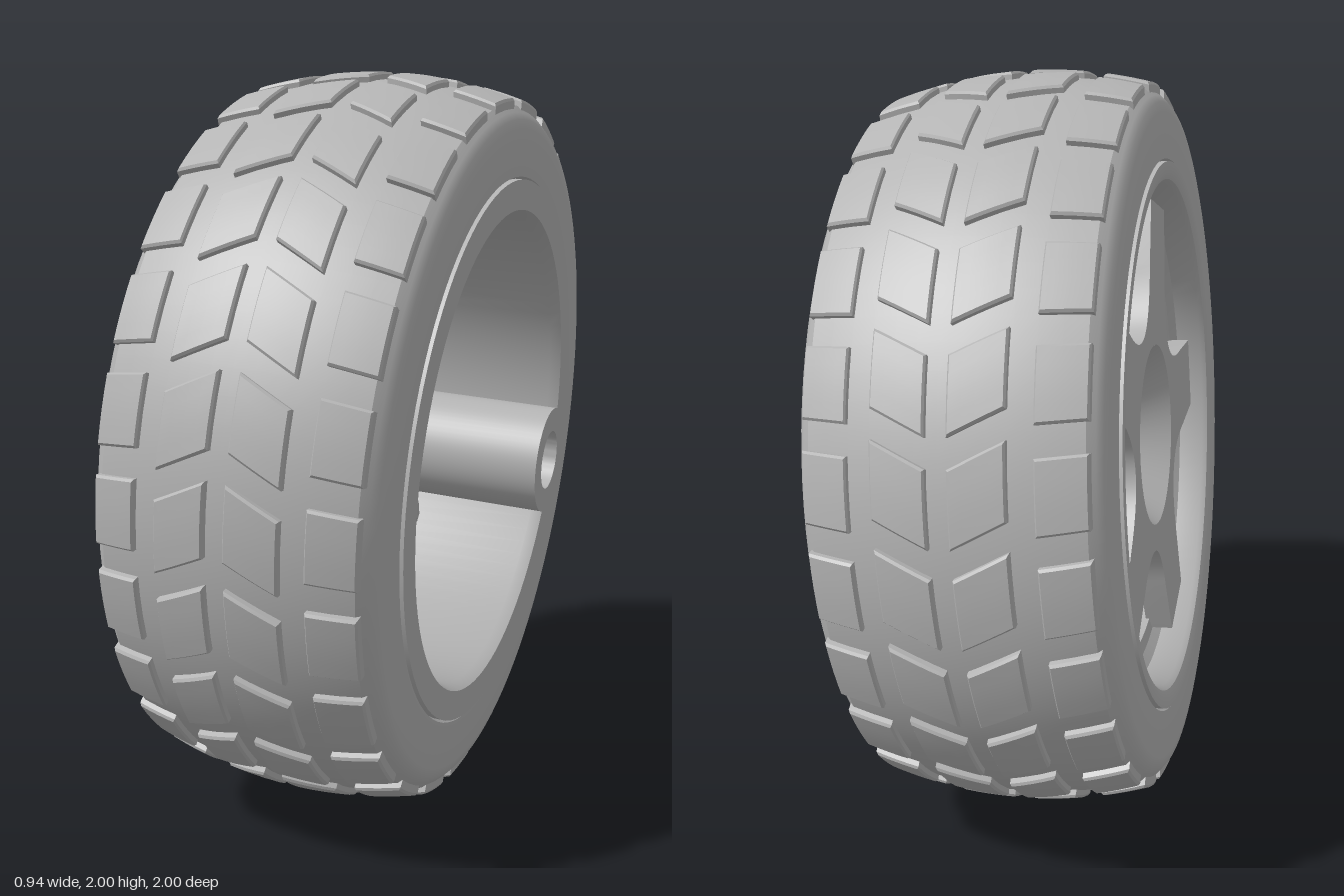
import * as THREE from 'three';
import { mergeGeometries, toCreasedNormals } from 'three/addons/utils/BufferGeometryUtils.js';

const V2 = (p) => new THREE.Vector2(p[0], p[1]);
const TAU = Math.PI * 2;
const CREASE = 0.5;

// Local frame: wheel axis along y; angle phi runs from z towards -x.
const treadRadius = (t) => 0.981 - 0.45 * t * t;

// One raised tread block, bent onto the crowned tyre surface.
function treadBlock(phi, side, t0, t1, length, slant) {
  const g = new THREE.BoxGeometry(1, 1, 1, 4, 2, 4);
  const p = g.attributes.position;
  const tMid = (t0 + t1) / 2;
  for (let i = 0; i < p.count; i++) {
    const h = p.getY(i);
    const inset = h > 0.25 ? 0.93 : 1;
    const lift = h > 0.25 ? 0.019 : h > -0.25 ? 0.013 : -0.012;
    const dt = p.getX(i) * inset * (t1 - t0);
    const t = side * tMid + dt;
    const a = phi - p.getZ(i) * inset * length - slant * side * dt;
    const r = treadRadius(t) + lift;
    p.setXYZ(i, -r * Math.sin(a), t, r * Math.cos(a));
  }
  return g;
}

// Outline of the five arms, with rounded valleys and a centre hole.
function starShape() {
  const s = new THREE.Shape();
  const at = (k, u, v) => {
    const a = (TAU * k) / 5;
    return [-u * Math.sin(a) - v * Math.cos(a), -u * Math.cos(a) + v * Math.sin(a)];
  };
  s.moveTo(...at(0, 0.46, -0.118));
  for (let k = 0; k < 5; k++) {
    s.lineTo(...at(k, 0.638, -0.105));
    s.lineTo(...at(k, 0.638, 0.105));
    s.lineTo(...at(k, 0.46, 0.118));
    s.quadraticCurveTo(...at(k + 0.5, 0.204, 0), ...at(k + 1, 0.46, -0.118));
  }
  const hole = new THREE.Path();
  hole.absarc(0, 0, 0.25, 0, TAU, true);
  s.holes.push(hole);
  return s;
}

export function createModel() {
  const grey = new THREE.MeshStandardMaterial({ color: 0xb4b4b4 });
  grey.name = 'grey plastic';

  const wheel = new THREE.Group();
  wheel.name = 'wheel';
  const add = (name, geometry) => {
    const mesh = new THREE.Mesh(toCreasedNormals(geometry, CREASE), grey);
    mesh.name = name;
    wheel.add(mesh);
    return mesh;
  };
  const lathe = (name, pts, seg = 96) => add(name, new THREE.LatheGeometry(pts.map(V2), seg));

  // Tyre body: flat sidewalls, rounded shoulders, crowned tread.
  const tyre = [[0.74, -0.33], [0.752, -0.355], [0.875, -0.357], [0.9, -0.352], [0.917, -0.338]];
  for (let i = 0; i <= 12; i++) {
    const t = -0.32 + (0.64 * i) / 12;
    tyre.push([treadRadius(t), t]);
  }
  tyre.push([0.917, 0.338], [0.9, 0.352], [0.875, 0.357], [0.752, 0.355], [0.74, 0.33]);
  lathe('tyre', tyre);

  // Tread: chevron blocks in the middle, square blocks on the shoulders.
  const inner = [];
  const outer = [];
  const rows = 25;
  for (let k = 0; k < rows; k++) {
    const phi = -0.057 + (TAU * k) / rows;
    for (const side of [-1, 1]) {
      inner.push(treadBlock(phi, side, 0.025, 0.155, 0.182, 0.5));
      outer.push(treadBlock(phi, side, 0.214, 0.33, 0.178, 0.1));
    }
  }
  add('chevronTread', mergeGeometries(inner));
  add('shoulderTread', mergeGeometries(outer));

  // Rim: barrel with a small inner lip and rounded outer edge.
  lathe('rim', [
    [0.745, 0.33], [0.745, 0.362], [0.665, 0.362], [0.652, 0.33], [0.645, -0.2],
    [0.61, -0.21], [0.61, -0.245], [0.65, -0.25], [0.675, -0.27], [0.688, -0.34],
    [0.698, -0.355], [0.715, -0.362], [0.745, -0.362], [0.745, -0.33],
  ]);

  // Five-armed star plate.
  const star = new THREE.ExtrudeGeometry(starShape(), { depth: 0.075, bevelEnabled: false, curveSegments: 24 });
  star.rotateX(-Math.PI / 2);
  star.translate(0, -0.31, 0);
  add('starSpokes', star);

  // Hub: recessed dish outside, rounded collar inside, long hollow shaft.
  lathe('hubAndShaft', [
    [0, -0.19], [0.16, -0.19], [0.25, -0.31], [0.295, -0.24], [0.28, -0.215], [0.24, -0.19],
    [0.22, -0.165], [0.215, -0.14], [0.215, -0.075], [0.207, -0.052], [0.19, -0.038],
    [0.17, -0.033], [0.143, -0.033], [0.143, 0.507], [0.08, 0.507], [0.08, 0.15], [0, 0.15],
  ], 64);

  // Flats narrowing the bore to a double-D.
  for (const s of [-1, 1]) {
    const flat = add('boreFlat', new THREE.BoxGeometry(0.13, 0.31, 0.03));
    flat.position.set(0, 0.3, s * 0.07);
  }

  // Stiffening fin behind each spoke.
  const finShape = new THREE.Shape(
    [[0.26, -0.25], [0.64, -0.25], [0.645, -0.03], [0.53, -0.005], [0.335, -0.11], [0.2, -0.13], [0.2, -0.17]].map(V2));
  const finGeometry = new THREE.ExtrudeGeometry(finShape, { depth: 0.03, bevelEnabled: false });
  finGeometry.translate(0, 0, -0.015);
  for (let k = 0; k < 5; k++) {
    const fin = add('spokeFin', finGeometry);
    fin.rotation.y = -Math.PI / 2 - (TAU * k) / 5;
  }

  // Lay the axis along x with a slight camber.
  wheel.rotation.z = -Math.PI / 2 - 0.077;
  wheel.position.set(-0.045, 1, 0);

  const model = new THREE.Group();
  model.name = 'camberedWheel';
  model.add(wheel);
  return model;
}
